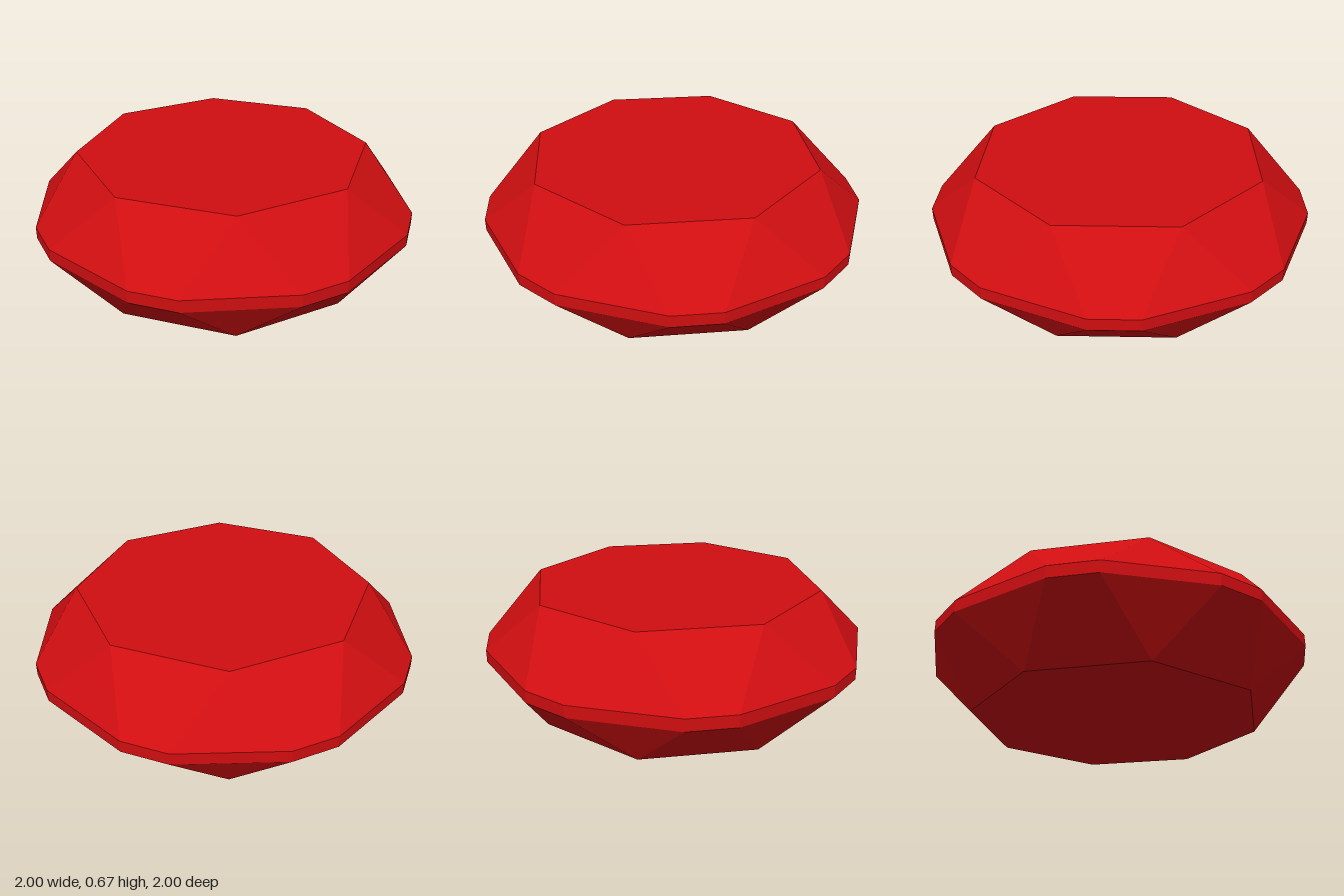
import * as THREE from 'three';

const SIDES = 8;
const STEP = (Math.PI * 2) / SIDES;
const HALF_EDGE = THREE.MathUtils.degToRad(15.6); // half angle of a long girdle edge
const TABLE_R = 0.79, GIRDLE_R = 1.038;
const Y = { base: 0, girdleLow: 0.305, girdleHigh: 0.37, table: 0.67 };

// Point on a ring; angle 0 faces the front (+z), growing towards +x
const ringPoint = (r, a, y) => [r * Math.sin(a), y, r * Math.cos(a)];

// Flat-shaded mesh from convex polygons listed counter-clockwise from outside
function facetMesh(name, faces, material) {
  const positions = [];
  for (const f of faces) {
    for (let i = 1; i < f.length - 1; i++) positions.push(...f[0], ...f[i], ...f[i + 1]);
  }
  const geometry = new THREE.BufferGeometry();
  geometry.setAttribute('position', new THREE.Float32BufferAttribute(positions, 3));
  geometry.computeVertexNormals();
  const mesh = new THREE.Mesh(geometry, material);
  mesh.name = name;
  return mesh;
}

// Triangles and trapezoids joining a girdle ring to an octagonal flat
function slopedFacets(girdleY, flatY) {
  const faces = [];
  for (let k = 0; k < SIDES; k++) {
    const a = k * STEP, next = a + STEP;
    const left = ringPoint(GIRDLE_R, a - HALF_EDGE, girdleY);
    const right = ringPoint(GIRDLE_R, a + HALF_EDGE, girdleY);
    const nextLeft = ringPoint(GIRDLE_R, next - HALF_EDGE, girdleY);
    const tip = ringPoint(TABLE_R, a, flatY);
    const nextTip = ringPoint(TABLE_R, next, flatY);
    faces.push([left, right, tip], [right, nextLeft, nextTip, tip]);
  }
  // Below the girdle the winding is reversed
  return flatY > girdleY ? faces : faces.map((f) => f.reverse());
}

export function createModel() {
  const ruby = new THREE.MeshStandardMaterial({ color: 0xd00e11 });
  ruby.name = 'ruby red';

  const gem = new THREE.Group();
  gem.name = 'cutGem';

  // Flat octagons on top and underneath
  const octagon = (y) => Array.from({ length: SIDES }, (_, k) => ringPoint(TABLE_R, k * STEP, y));
  gem.add(facetMesh('table', [octagon(Y.table)], ruby));
  gem.add(facetMesh('base', [octagon(Y.base).reverse()], ruby));

  // Sloping facets above and below the girdle
  gem.add(facetMesh('crown', slopedFacets(Y.girdleHigh, Y.table), ruby));
  gem.add(facetMesh('pavilion', slopedFacets(Y.girdleLow, Y.base), ruby));

  // Thin upright band of alternating long and short edges
  const angles = [];
  for (let k = 0; k < SIDES; k++) angles.push(k * STEP - HALF_EDGE, k * STEP + HALF_EDGE);
  const band = angles.map((a, i) => {
    const b = angles[(i + 1) % angles.length];
    return [
      ringPoint(GIRDLE_R, a, Y.girdleLow), ringPoint(GIRDLE_R, b, Y.girdleLow),
      ringPoint(GIRDLE_R, b, Y.girdleHigh), ringPoint(GIRDLE_R, a, Y.girdleHigh),
    ];
  });
  gem.add(facetMesh('girdle', band, ruby));

  return gem;
}
